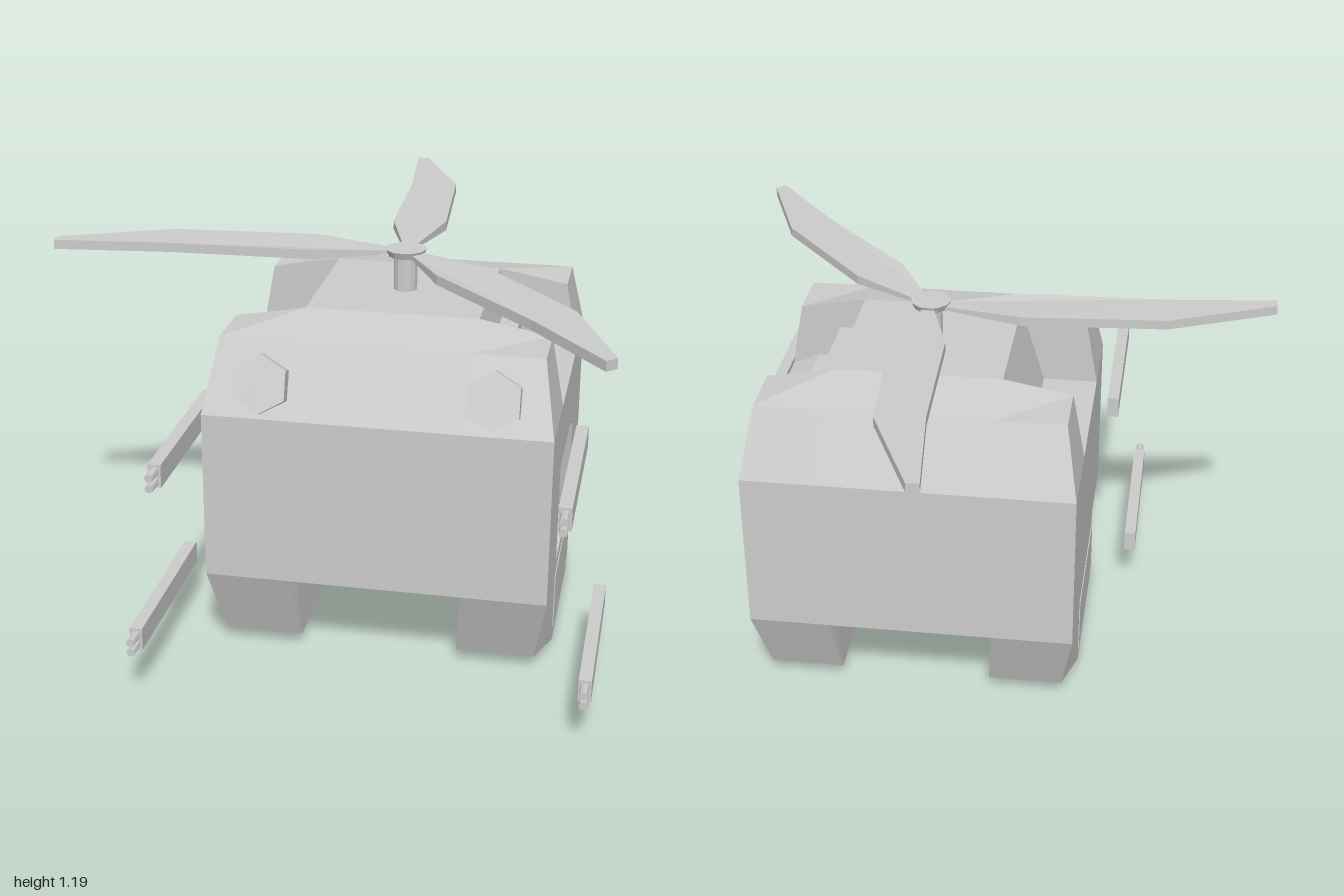
import * as THREE from 'three';

const MAT = new THREE.MeshStandardMaterial({ color: 0xcccccc, flatShading: true, side: THREE.DoubleSide });
const CX = 0.205; // body centre line

function add(parent, name, geo, x = 0, y = 0, z = 0) {
  const m = new THREE.Mesh(geo, MAT);
  m.name = name;
  m.position.set(x, y, z);
  parent.add(m);
  return m;
}

// Roof outlines from the outer wall to the centre panel (six points each)
const plainRoof = (x, y, yc) => [...Array(5).fill([x, y]), [0.265, yc]];
const stepNotch = [[0.435, 0.84], [0.395, 0.84], [0.355, 0.91], [0.355, 0.95], [0.295, 0.95], [0.265, 1.06]];
const openNotch = [...Array(5).fill([0.345, 0.8]), [0.265, 1.06]];

// Half cross-section: channel, leg, side wall with recess depth d, roof
function half(yb, xi, xo, roof, d = 0) {
  return [[0.265, 0.27], [xi, yb], [xo, yb], [0.525, 0.27], [0.525 - d, 0.275],
    [0.525 - d, 0.55], [0.525, 0.59], [0.525, 0.8], ...roof];
}

// Body shell lofted from back to front
function bodyGeometry() {
  const end = half(0.27, 0.265, 0.525, plainRoof(0.525, 0.8, 0.8));
  const bevel = half(0.04, 0.245, 0.485, plainRoof(0.485, 1.02, 1.02));
  const full = half(0, 0.258, 0.525, plainRoof(0.485, 1.02, 1.06));
  const left = half(0, 0.258, 0.525, openNotch);
  const right = d => half(0, 0.258, 0.525, stepNotch, d);
  const sections = [
    [-0.43, end, end], [-0.34, bevel, bevel], [-0.15, full, full],
    [-0.15, right(0), left], [-0.13, right(0), left], [-0.04, right(0.04), left],
    [0.24, right(0.04), left], [0.33, right(0), left], [0.35, right(0), left],
    [0.35, full, full], [0.54, bevel, bevel], [0.63, end, end],
  ];
  const pos = [], idx = [];
  for (const [z, r, l] of sections) {
    for (const [x, y] of r) pos.push(CX + x, y, z);
    for (const [x, y] of [...l].reverse()) pos.push(CX - x, y, z);
  }
  const n = end.length * 2, last = (sections.length - 1) * n;
  for (let s = 0; s < last; s += n) {
    for (let j = 0; j < n; j++) {
      const a = s + j, b = s + (j + 1) % n;
      idx.push(a, b, b + n, a, b + n, a + n);
    }
  }
  // flat end caps
  const c = pos.length / 3;
  pos.push(CX, 0.535, -0.43, CX, 0.535, 0.63);
  for (let j = 0; j < n; j++) {
    const k = (j + 1) % n;
    idx.push(c, k, j, c + 1, last + j, last + k);
  }
  const g = new THREE.BufferGeometry();
  g.setAttribute('position', new THREE.Float32BufferAttribute(pos, 3));
  g.setIndex(idx);
  g.computeVertexNormals();
  return g;
}

// Swept blade outline, pointing to -z
function bladeGeometry() {
  const outline = [[-0.145, -1.1], [-0.105, -1.1], [0.045, -0.76], [0.08, -0.3],
    [0.02, -0.05], [-0.02, -0.05], [-0.09, -0.28], [-0.105, -0.74]];
  const shape = new THREE.Shape(outline.map(p => new THREE.Vector2(...p)));
  const g = new THREE.ExtrudeGeometry(shape, { depth: 0.03, bevelEnabled: false });
  g.rotateX(Math.PI / 2).translate(0, 0.015, 0);
  // thin the blade towards its root
  const p = g.attributes.position;
  for (let i = 0; i < p.count; i++) if (p.getZ(i) > -0.2) p.setY(i, p.getY(i) * 0.4);
  g.computeVertexNormals();
  return g;
}

export function createModel() {
  const model = new THREE.Group();
  model.name = 'flyingPod';
  add(model, 'body', bodyGeometry());

  for (const s of [-1, 1]) {
    // flush panels on the legs
    add(model, 'legPanel', new THREE.BoxGeometry(0.006, 0.18, 0.5), CX + s * 0.525, 0.14, 0.1);
    // six-sided headlamps, leaning back
    const lamp = add(model, 'headlamp', new THREE.CylinderGeometry(0.09, 0.09, 0.045, 6), CX + s * 0.345, 0.905, 0.61);
    lamp.rotation.x = Math.PI / 2 - 0.33;
  }

  // rotor
  const rotor = new THREE.Group();
  rotor.name = 'rotor';
  rotor.position.set(CX, 1.177, 0.1);
  model.add(rotor);
  add(rotor, 'mast', new THREE.CylinderGeometry(0.037, 0.037, 0.14, 12), 0, -0.065, 0.01);
  add(rotor, 'hub', new THREE.CylinderGeometry(0.065, 0.055, 0.022, 12), 0, 0.003, 0.01);
  const blade = bladeGeometry();
  for (const [angle, flip] of [[0, 0], [90, 0], [-135, Math.PI]]) {
    const holder = new THREE.Group();
    holder.name = 'bladeHolder';
    holder.rotation.y = THREE.MathUtils.degToRad(angle);
    rotor.add(holder);
    add(holder, 'blade', blade).rotation.z = flip;
  }

  // twin-barrel guns floating at the sides
  for (const [x, y] of [[-0.38, 0.72], [-0.46, 0.18], [0.79, 0.695], [0.87, 0.16]]) {
    const gun = new THREE.Group();
    gun.name = 'gun';
    gun.position.set(x, y, 0);
    model.add(gun);
    add(gun, 'gunHousing', new THREE.BoxGeometry(0.038, 0.07, 0.59), 0, 0, 0.615);
    for (const dy of [-0.016, 0.016]) {
      add(gun, 'muzzle', new THREE.CylinderGeometry(0.013, 0.013, 0.07, 8), 0, dy, 0.93).rotation.x = Math.PI / 2;
    }
  }
  return model;
}
